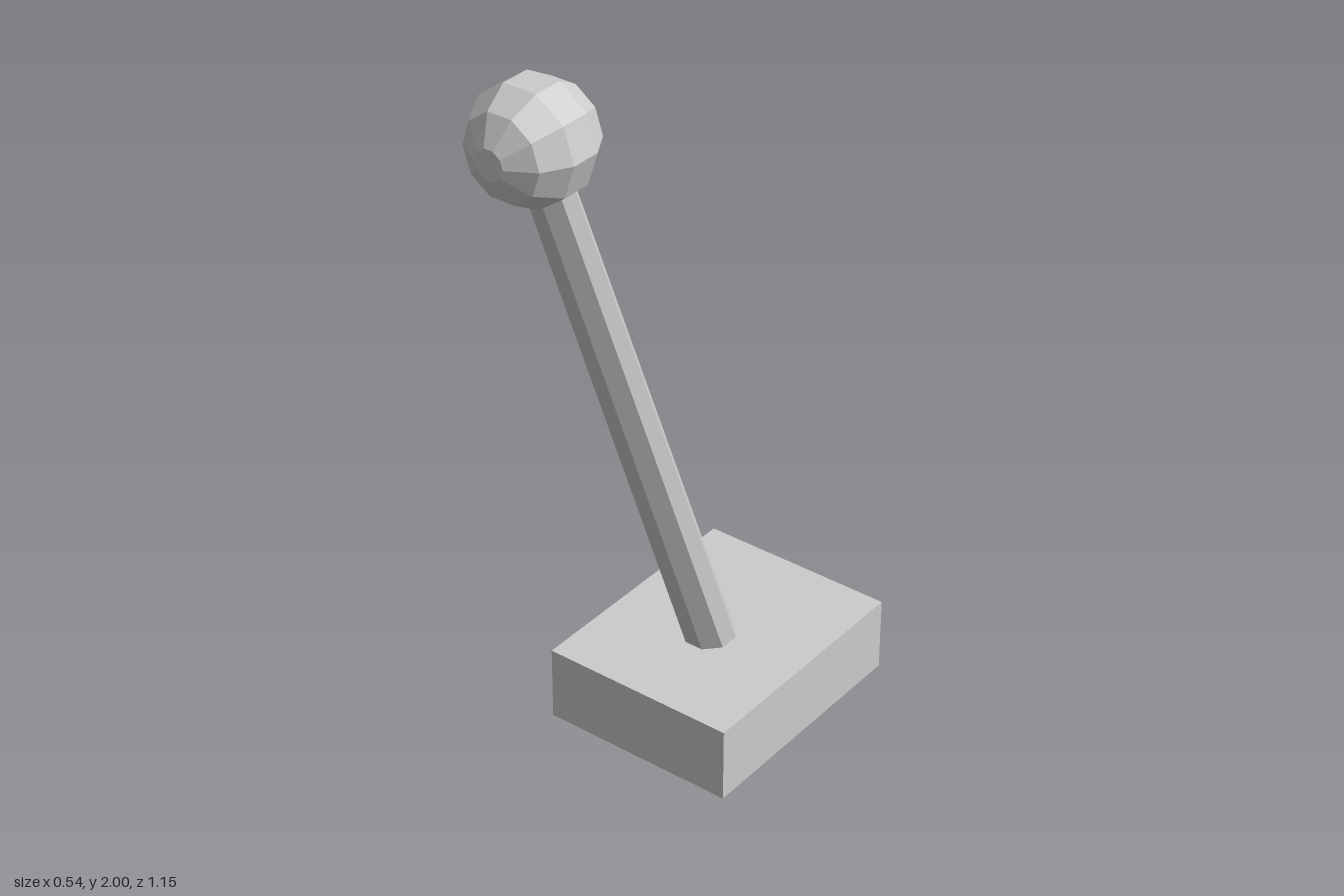
import * as THREE from 'three';

export function createModel() {
  const model = new THREE.Group();
  const grey = new THREE.MeshStandardMaterial({ color: 0xcccccc });
  grey.name = 'plain grey';
  grey.flatShading = true;

  const add = (name, geometry) => {
    const mesh = new THREE.Mesh(geometry, grey);
    mesh.name = name;
    model.add(mesh);
    return mesh;
  };

  // Base block, set back from the knob
  add('base', new THREE.BoxGeometry(0.536, 0.203, 0.674)).position.set(0, 0.1015, -0.241);

  // Tapered eight-sided shaft leaning forward from the base into the knob
  const foot = new THREE.Vector3(0, 0.165, -0.218);
  const tip = new THREE.Vector3(0, 1.8, 0.412);
  const axis = tip.clone().sub(foot);
  const shaft = add('shaft', new THREE.CylinderGeometry(0.056, 0.067, axis.length(), 8, 1, false, Math.PI / 8));
  shaft.position.copy(foot).add(tip).multiplyScalar(0.5);
  shaft.quaternion.setFromUnitVectors(new THREE.Vector3(0, 1, 0), axis.normalize());

  // Ten-sided faceted knob with flat caps facing front and back
  const radius = 0.1475;
  const profile = [new THREE.Vector2(0, -radius * Math.cos(Math.PI / 12))];
  for (let deg = -75; deg <= 75; deg += 30) {
    const a = THREE.MathUtils.degToRad(deg);
    profile.push(new THREE.Vector2(radius * Math.cos(a), radius * Math.sin(a)));
  }
  profile.push(new THREE.Vector2(0, radius * Math.cos(Math.PI / 12)));
  const knob = add('knob', new THREE.LatheGeometry(profile, 10, Math.PI / 2));
  knob.rotation.x = Math.PI / 2;
  knob.position.set(0, 1.862, 0.434);

  return model;
}
